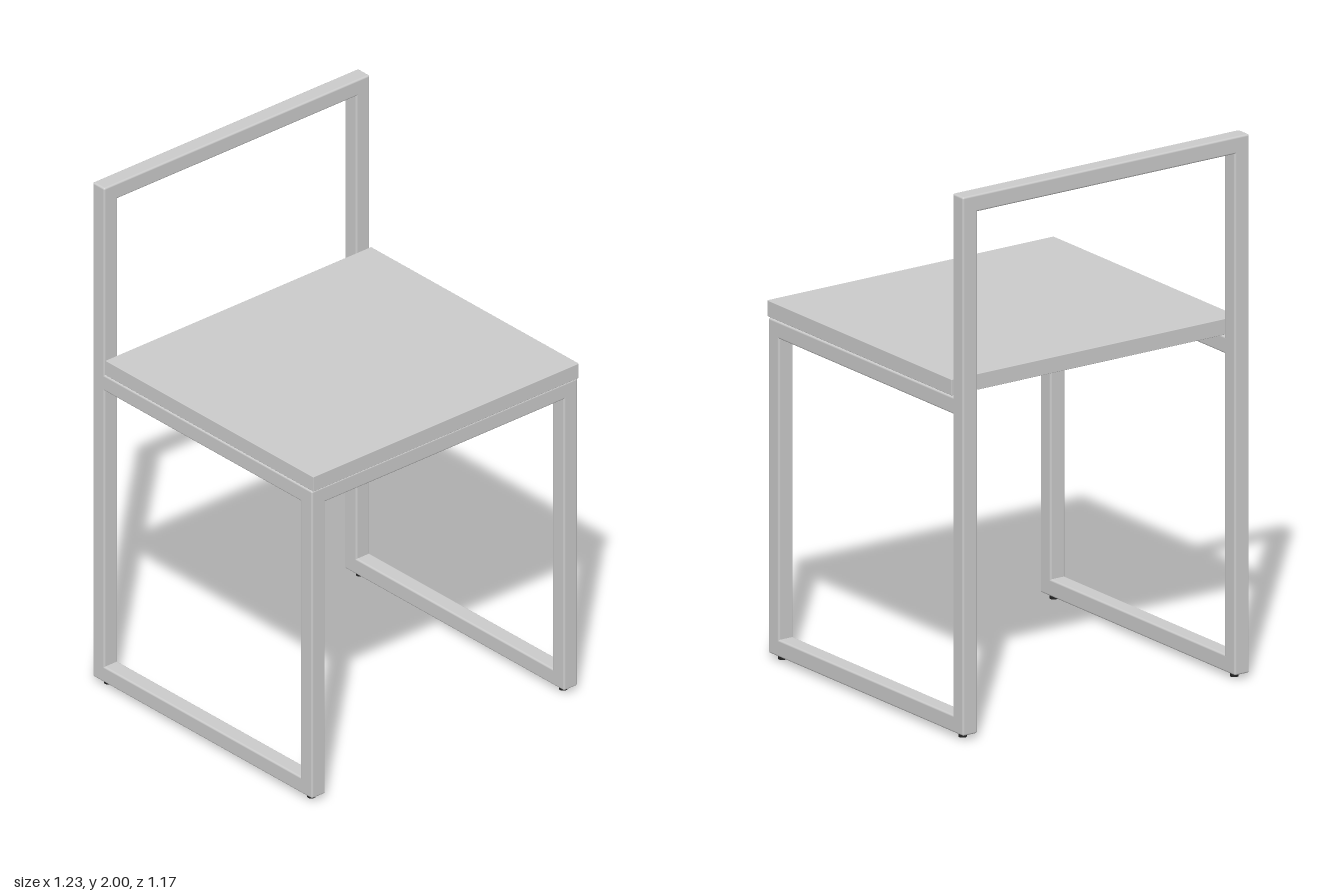
import * as THREE from 'three';
import { RoundedBoxGeometry } from 'three/addons/geometries/RoundedBoxGeometry.js';

export function createModel() {
  const chair = new THREE.Group();
  chair.name = 'chair';
  const grey = new THREE.MeshStandardMaterial({ color: 0xcccccc });
  const dark = new THREE.MeshStandardMaterial({ color: 0x222222 });

  const T = 0.063;              // side of the square tube
  const X = 0.617;              // half width
  const FRONT = 0.58, BACK = -0.587;
  const BASE = 0.018, TOP = 2, RAIL_TOP = 1.251;

  // Softly rounded bar given by its lower and upper limits on each axis
  function bar(name, [x0, x1], [y0, y1], [z0, z1], radius = 0.007) {
    const geometry = new RoundedBoxGeometry(x1 - x0, y1 - y0, z1 - z0, 3, radius);
    const mesh = new THREE.Mesh(geometry, grey);
    mesh.position.set((x0 + x1) / 2, (y0 + y1) / 2, (z0 + z1) / 2);
    mesh.name = name;
    chair.add(mesh);
  }

  // Side frames: front leg, tall back post, floor runner, seat rail and feet
  for (const [side, s] of [['left', 1], ['right', -1]]) {
    const xs = s > 0 ? [X - T, X] : [-X, -X + T];
    bar(side + 'FrontLeg', xs, [BASE, RAIL_TOP], [FRONT - T, FRONT]);
    bar(side + 'BackPost', xs, [BASE, TOP], [BACK, BACK + T]);
    bar(side + 'FloorRunner', xs, [BASE, BASE + T], [BACK, FRONT]);
    bar(side + 'SeatRail', xs, [RAIL_TOP - T, RAIL_TOP], [BACK + 0.01, FRONT]);

    for (const [end, z] of [['Front', 0.54], ['Back', -0.54]]) {
      const foot = new THREE.Mesh(new THREE.CylinderGeometry(0.015, 0.015, 0.024, 24), dark);
      foot.position.set(s * 0.585, 0.012, z);
      foot.name = side + end + 'Foot';
      chair.add(foot);
    }
  }

  // Cross bars
  bar('frontRail', [-X, X], [RAIL_TOP - T, RAIL_TOP], [FRONT - T, FRONT]);
  bar('backrestTopRail', [-X, X], [TOP - T, TOP], [BACK, BACK + T]);

  // Flat seat panel resting on the rails
  bar('seat', [-X, X], [1.254, 1.313], [-0.518, 0.587], 0.002);

  return chair;
}
